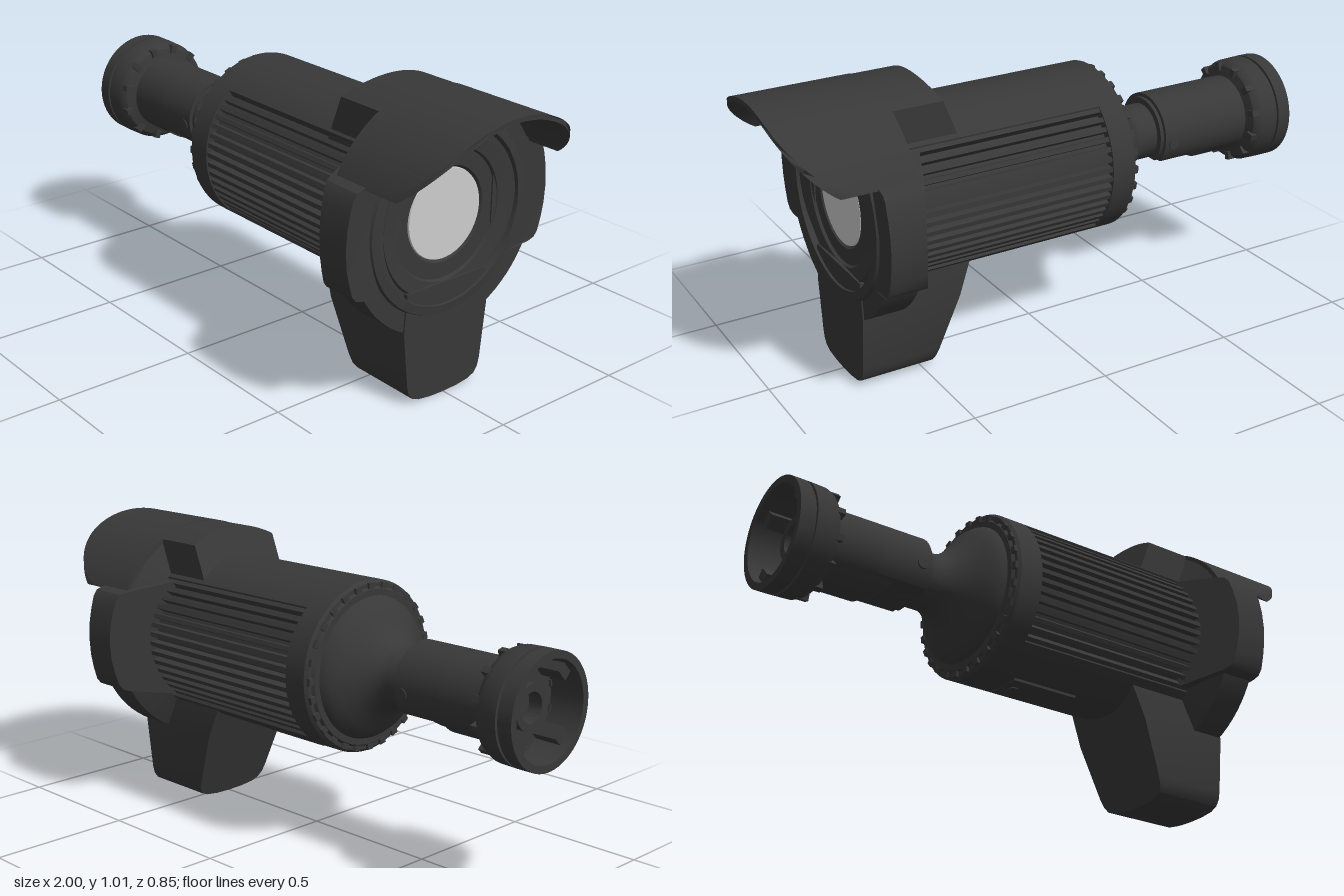
import * as THREE from 'three';
import { toCreasedNormals } from 'three/addons/utils/BufferGeometryUtils.js';

const AXIS = 0.62; // height of the barrel axis

export function createModel() {
  const root = new THREE.Group();
  root.name = 'bulletCamera';
  const dark = new THREE.MeshStandardMaterial({ color: 0x383838 });
  dark.name = 'charcoal';
  const pale = new THREE.MeshStandardMaterial({ color: 0xcccccc });
  pale.name = 'lensGrey';

  const add = (name, geo, mat = dark, parent = root) => {
    const mesh = new THREE.Mesh(geo, mat);
    mesh.name = name;
    parent.add(mesh);
    return mesh;
  };
  // Turned part around the barrel axis; profile is [radius, x] pairs
  const turned = (name, profile, mat) => {
    const geo = new THREE.LatheGeometry(profile.map(p => new THREE.Vector2(...p)), 72);
    geo.rotateZ(-Math.PI / 2).translate(0, AXIS, 0);
    return add(name, toCreasedNormals(geo, 0.5), mat);
  };
  // Cross-section of [z, y] points run along x; each end is a function of (z, y)
  const run = (name, pts, back, front) => {
    const shape = new THREE.Shape(pts.map(([z, y]) => new THREE.Vector2(-z, y)));
    const geo = new THREE.ExtrudeGeometry(shape, { depth: 1, bevelEnabled: false });
    const p = geo.attributes.position;
    for (let i = 0; i < p.count; i++) {
      const z = -p.getX(i), y = p.getY(i);
      p.setXYZ(i, p.getZ(i) > 0.5 ? front(z, y) : back(z, y), y, z);
    }
    return add(name, toCreasedNormals(geo, 0.5));
  };
  // Points on a circle around the axis, angle measured from the top towards +z
  const arc = (r, a0, a1, n) => Array.from({ length: n + 1 }, (_, i) => {
    const a = a0 + (a1 - a0) * i / n;
    return [r * Math.sin(a), AXIS + r * Math.cos(a)];
  });
  const at = x => () => x;
  const deg = Math.PI / 180;

  // Rear shell of the barrel
  turned('rearShell', [[0, -0.26], [0.265, -0.26], [0.272, -0.25], [0.285, -0.25],
    [0.295, -0.24], [0.295, -0.155], [0, -0.155]]);
  // Small tabs around the rear rim
  const tabs = new THREE.Group();
  tabs.name = 'rimTabs';
  root.add(tabs);
  for (let i = 0; i < 28; i++) {
    const a = i / 28 * Math.PI * 2;
    const tab = add('rimTab', new THREE.BoxGeometry(0.02, 0.02, 0.025), dark, tabs);
    tab.position.set(-0.25, AXIS + 0.277 * Math.cos(a), 0.277 * Math.sin(a));
    tab.rotation.x = a;
  }

  // Barrel with cooling fins on both sides
  const barrel = [];
  for (const mid of [90, 270]) {
    barrel.push(...arc(0.295, (mid - 132) * deg, (mid - 49) * deg, 24));
    const n = 14, pitch = 96 / n;
    for (let i = 0; i < n; i++) {
      const a = mid - 48 + i * pitch;
      barrel.push(...arc(0.265, a * deg, (a + pitch * 0.35) * deg, 1));
      barrel.push(...arc(0.29, (a + pitch * 0.45) * deg, (a + pitch * 0.9) * deg, 1));
    }
  }
  run('finnedBarrel', barrel, at(-0.16), at(0.575));

  // Flared neck ending in the ball of the joint
  turned('neck', [[0, -0.58], [0.05, -0.57], [0.09, -0.53], [0.1, -0.48], [0.1, -0.42],
    [0.108, -0.395], [0.13, -0.365], [0.165, -0.335], [0.2, -0.31], [0.225, -0.29],
    [0.24, -0.27], [0.245, -0.255]]);

  // Arm: full tube behind, open underneath in front of the joint
  turned('armTube', [[0, -0.87], [0.135, -0.87], [0.135, -0.67], [0, -0.67]]);
  run('armSocket', arc(0.135, -130 * deg, 130 * deg, 40), at(-0.675), at(-0.485));
  run('socketLip', arc(0.122, -135 * deg, 135 * deg, 40), at(-0.5), at(-0.472));
  run('armStep', arc(0.125, 130 * deg, 230 * deg, 14),
    at(-0.69), (z, y) => -0.64 + (y - 0.495) * 1.2);
  for (const s of [1, -1]) {
    const screw = add('jointScrew', new THREE.CylinderGeometry(0.02, 0.02, 0.012, 20));
    screw.rotation.x = Math.PI / 2;
    screw.position.set(-0.52, 0.605, s * 0.133);
  }

  // Hollow mounting base
  turned('mountBase', [[0, -0.88], [0.16, -0.88], [0.165, -1], [0.19, -1], [0.19, -0.95],
    [0.18, -0.95], [0.18, -0.94], [0.19, -0.94], [0.188, -0.88], [0.18, -0.86],
    [0.17, -0.85], [0.135, -0.84]]);
  const grips = new THREE.Group();
  grips.name = 'baseGrips';
  root.add(grips);
  for (let i = 0; i < 12; i++) {
    const a = (i + 0.5) / 12 * Math.PI * 2;
    const grip = add('baseGrip', new THREE.BoxGeometry(0.05, 0.03, 0.022), dark, grips);
    grip.position.set(-0.862, AXIS + 0.168 * Math.cos(a), 0.168 * Math.sin(a));
    grip.rotation.x = a;
  }
  for (let i = 0; i < 4; i++) {
    const a = (i + 0.5) * Math.PI / 2;
    const lug = add('baseLug', new THREE.BoxGeometry(0.09, 0.035, 0.05));
    lug.position.set(-0.925, AXIS + 0.145 * Math.cos(a), 0.145 * Math.sin(a));
    lug.rotation.x = a;
  }
  turned('baseHub', [[0.05, -0.87], [0.05, -0.93], [0.075, -0.93], [0.075, -0.87]]);

  // Front head with stepped bezel and lens
  turned('head', [[0.285, 0.555], [0.392, 0.605], [0.392, 0.725], [0.33, 0.725],
    [0.325, 0.735], [0.295, 0.738], [0.29, 0.715], [0.275, 0.715], [0.27, 0.725],
    [0.22, 0.72], [0.215, 0.71], [0.16, 0.71], [0.153, 0.7], [0, 0.7]]);
  turned('lens', [[0.152, 0.701], [0.15, 0.707], [0, 0.707]], pale);

  // Side wings with sloped backs
  for (const s of [1, -1]) {
    const half = [[0.2, 0.208], [0.36, 0.182], [0.385, 0.174], [0.4, 0.155],
      [0.413, 0.11], [0.423, 0.06], [0.427, 0]];
    const outline = [...half, ...half.slice(0, -1).reverse().map(([z, y]) => [z, -y])];
    run('sideWing', outline.map(([z, y]) => [s * z, AXIS + y]),
      z => 0.56 + (Math.abs(z) - 0.3) * 0.42,
      z => (Math.abs(z) < 0.3 ? 0.715 : 0.735));
  }

  // Lower fairing under the head, back face sloping forward
  const tail = [[0.17, 0.4], [0.18, 0.265], [0.16, 0.075], [0.153, 0.045], [0.138, 0.024],
    [0.11, 0.012], [0.06, 0.005]];
  run('lowerFairing', [...tail, [0, 0.003], ...tail.slice().reverse().map(([z, y]) => [-z, y])],
    (z, y) => 0.35 + (0.33 - y) * 0.375, at(0.73));

  // Upper fairing leading into the hood
  run('upperFairing', [[-0.185, 0.8], ...arc(0.394, -28 * deg, 28 * deg, 20), [0.185, 0.8]],
    (z, y) => 0.375 + (y - 0.85) * 0.4, at(0.7));

  // Curved rain hood, rounded off towards its lower corners
  const span = 63.5 * deg;
  run('rainHood', [...arc(0.396, -span, span, 64), ...arc(0.381, span, -span, 64)],
    at(0.6), z => 0.76 + 0.24 * Math.sqrt(Math.max(0, 1 - Math.pow(Math.abs(z) / 0.3545, 4))));

  // Service hatch on the underside
  add('serviceHatch', new THREE.BoxGeometry(0.26, 0.012, 0.13)).position.set(0.03, 0.329, 0);
  add('hatchScrew', new THREE.CylinderGeometry(0.018, 0.018, 0.012, 16)).position.set(-0.06, 0.325, 0);

  return root;
}
